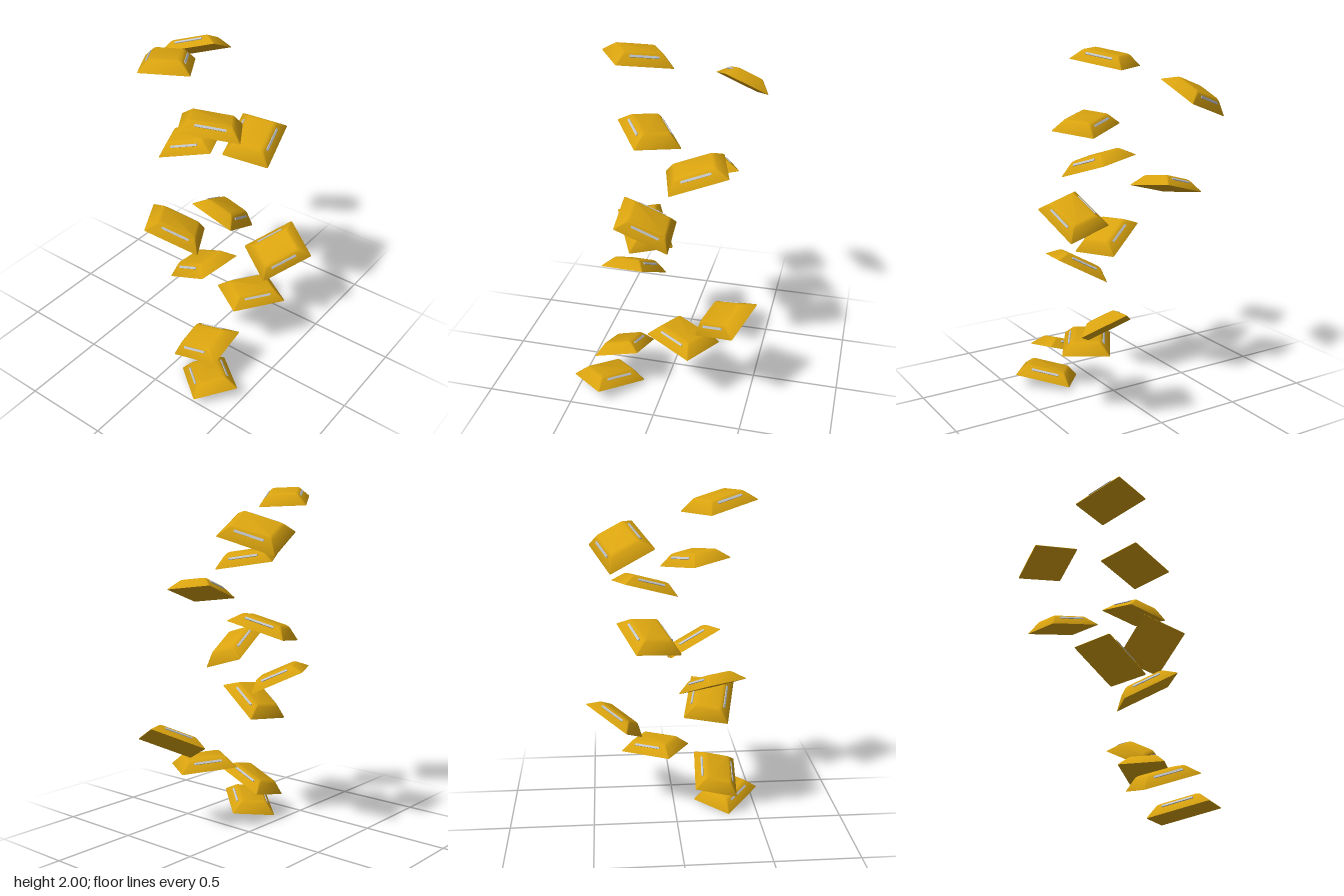
import * as THREE from 'three';
import { toCreasedNormals } from 'three/addons/utils/BufferGeometryUtils.js';

const LENGTH = 0.328, WIDTH = 0.26;

// Each slab: a base corner, the long edge from it and the short edge from it
const SLABS = [
  [[-0.423, 1.955, -0.10], [0.268, -0.055, -0.177], [0.142, -0.01, 0.216]],
  [[0.142, 1.765, -0.434], [0.107, 0.095, 0.297], [0.23, -0.117, -0.048]],
  [[-0.30, 1.616, 0.037], [0.17, -0.048, 0.277], [0.212, -0.026, -0.13]],
  [[0.062, 1.347, 0.366], [0.30, 0.095, -0.079], [-0.076, 0.031, -0.25]],
  [[0.006, 1.18, -0.349], [0.096, 0.088, 0.298], [0.238, 0.032, -0.082]],
  [[-0.252, 1.11, 0.35], [0.289, -0.15, -0.054], [-0.008, 0.074, -0.248]],
  [[-0.238, 0.828, 0.12], [-0.142, 0.138, -0.26], [0.233, 0.005, -0.13]],
  [[-0.361, 0.807, 0.25], [0.07, -0.159, -0.28], [0.25, 0.026, 0.048]],
  [[0.20, 0.452, 0.286], [0.237, 0.128, 0.179], [0.091, 0.105, -0.215]],
  [[-0.09, 0.40, 0.27], [0.277, -0.016, 0.173], [0.135, 0, -0.216]],
  [[-0.386, 0.25, 0.352], [0.02, -0.112, -0.31], [0.25, 0.06, -0.005]],
  [[-0.53, 0.066, 0.312], [0.202, -0.058, -0.238], [0.201, 0.027, 0.162]],
];

// Rounded rectangle loop at height y, drawn in from the base outline
function loop(y, inset, radius) {
  const points = [];
  const hx = LENGTH / 2 - inset - radius, hz = WIDTH / 2 - inset - radius;
  for (let corner = 0; corner < 4; corner++) {
    const sx = corner === 0 || corner === 3 ? 1 : -1, sz = corner < 2 ? 1 : -1;
    for (let i = 0; i <= 4; i++) {
      const a = (corner + i / 4) * Math.PI / 2;
      points.push([sx * hx + radius * Math.cos(a), y, sz * hz + radius * Math.sin(a)]);
    }
  }
  return points;
}

// Flat-bottomed slab with sloping sides and a softened top edge
function slabGeometry() {
  const loops = [
    loop(0, 0, 0.006), loop(0.004, 0.001, 0.007), loop(0.052, 0.043, 0.012),
    loop(0.06, 0.051, 0.013), loop(0.064, 0.062, 0.013),
  ];
  const n = loops[0].length;
  const positions = loops.flat(2);
  const index = [];
  for (let k = 0; k < loops.length - 1; k++) {
    for (let i = 0; i < n; i++) {
      const j = (i + 1) % n, a = k * n + i, b = k * n + j;
      index.push(a, a + n, b, b, a + n, b + n);
    }
  }
  const top = (loops.length - 1) * n;
  for (let i = 1; i < n - 1; i++) {
    index.push(0, i, i + 1);
    index.push(top, top + i + 1, top + i);
  }
  const geometry = new THREE.BufferGeometry();
  geometry.setAttribute('position', new THREE.Float32BufferAttribute(positions, 3));
  geometry.setIndex(index);
  return toCreasedNormals(geometry, 0.75);
}

export function createModel() {
  const model = new THREE.Group();
  model.name = 'floatingSlabs';
  const gold = new THREE.MeshStandardMaterial({ color: 0xd9a30f });
  gold.name = 'gold';
  const silver = new THREE.MeshStandardMaterial({ color: 0xc0c4cc });
  silver.name = 'silver';

  const bodyGeometry = slabGeometry();
  const barGeometry = new THREE.BoxGeometry(0.165, 0.008, 0.013);
  const slope = Math.atan2(0.048, 0.042);

  SLABS.forEach(([corner, long, short], i) => {
    const slab = new THREE.Group();
    slab.name = `slab${i + 1}`;
    const u = new THREE.Vector3(...long), v = new THREE.Vector3(...short);
    slab.position.set(...corner).addScaledVector(u, 0.5).addScaledVector(v, 0.5);

    // Local axes: x along the long edge, y out of the top
    u.normalize();
    const up = new THREE.Vector3().crossVectors(v, u).normalize();
    if (up.y < 0) up.negate();
    const side = new THREE.Vector3().crossVectors(u, up);
    slab.quaternion.setFromRotationMatrix(new THREE.Matrix4().makeBasis(u, up, side));

    const body = new THREE.Mesh(bodyGeometry, gold);
    body.name = 'slabBody';
    slab.add(body);

    // Metal bar on each long sloping side
    for (const s of [-1, 1]) {
      const bar = new THREE.Mesh(barGeometry, silver);
      bar.name = s < 0 ? 'backBar' : 'frontBar';
      bar.position.set(0, 0.044, s * 0.095);
      bar.rotation.x = s * slope;
      slab.add(bar);
    }
    model.add(slab);
  });
  return model;
}
